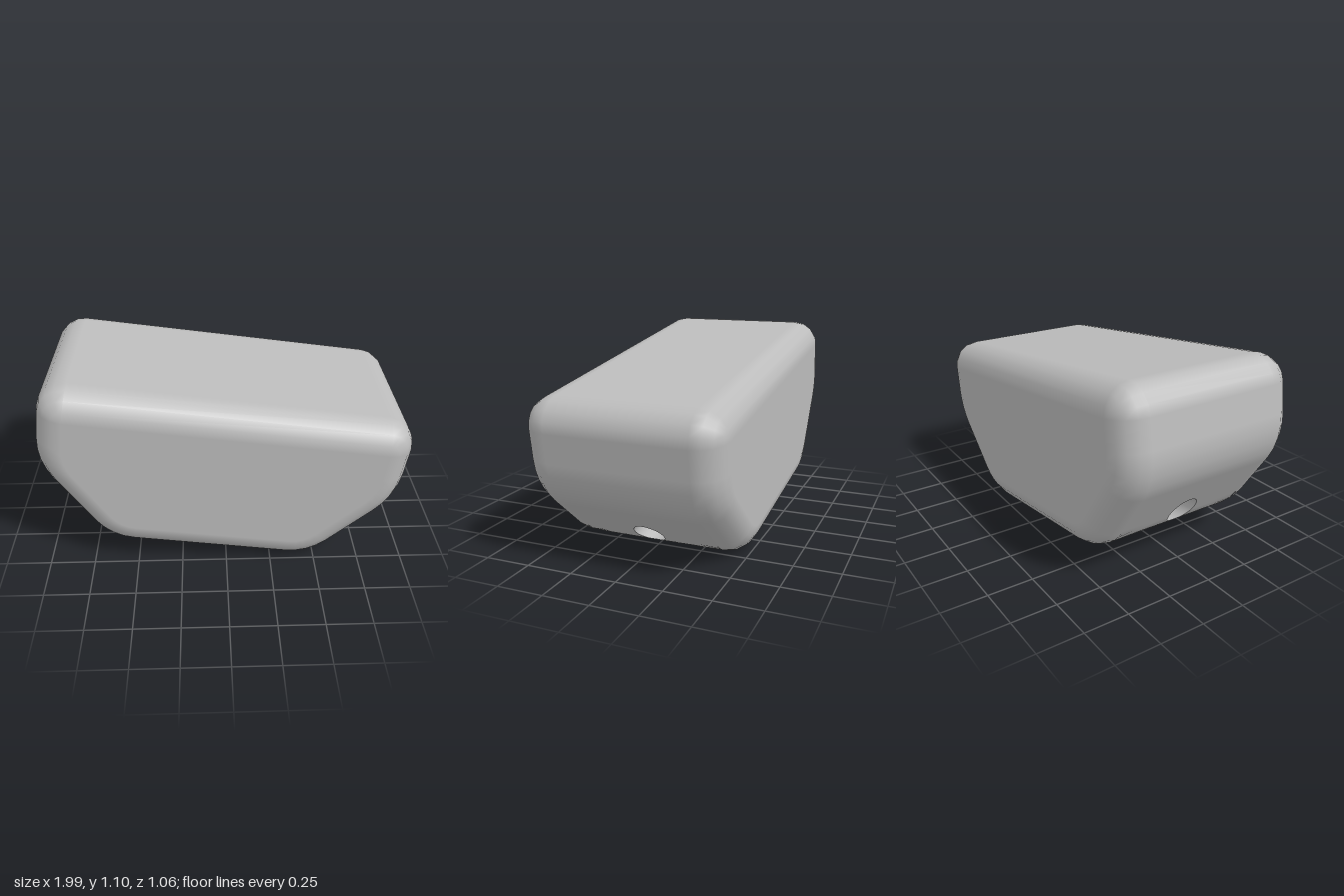
import * as THREE from 'three';
import { mergeGeometries } from 'three/addons/utils/BufferGeometryUtils.js';

const BEVEL = 0.15, SEG = 4, HALF_DEPTH = 0.528;
const FLAT = HALF_DEPTH - BEVEL;
const BORE_V = 0.193, BORE_R = 0.081, BORE_SIDES = 48;

// Grid surface: fn(i, j) gives { p, n }; triangles are wound to agree with the normals.
function surface(ni, nj, fn) {
  const pos = [], nor = [], index = [];
  for (let i = 0; i <= ni; i++) for (let j = 0; j <= nj; j++) {
    const { p, n } = fn(i, j);
    pos.push(...p);
    nor.push(...n);
  }
  const at = (a, k) => new THREE.Vector3().fromArray(a, 3 * k);
  const addTri = (a, b, c) => {
    const face = at(pos, b).sub(at(pos, a)).cross(at(pos, c).sub(at(pos, a)));
    if (face.length() < 1e-10) return;
    const mean = at(nor, a).add(at(nor, b)).add(at(nor, c));
    index.push(...(face.dot(mean) > 0 ? [a, b, c] : [a, c, b]));
  };
  for (let i = 0; i < ni; i++) for (let j = 0; j < nj; j++) {
    const a = i * (nj + 1) + j, b = a + nj + 1;
    addTri(a, b, b + 1);
    addTri(a, b + 1, a + 1);
  }
  const g = new THREE.BufferGeometry();
  g.setAttribute('position', new THREE.Float32BufferAttribute(pos, 3));
  g.setAttribute('normal', new THREE.Float32BufferAttribute(nor, 3));
  g.setIndex(index);
  return g;
}

// Side outline: a hexagon whose corners are rounded over equal lengths of edge.
function roundedOutline(corners) {
  const out = [], N = corners.length;
  corners.forEach((c, k) => {
    const d0 = c.clone().sub(corners[(k + N - 1) % N]).normalize();
    const d1 = corners[(k + 1) % N].clone().sub(c).normalize();
    const n0 = new THREE.Vector2(d0.y, -d0.x);
    const turn = Math.acos(d0.dot(d1));
    const r = BEVEL / Math.tan(turn / 2);
    const centre = c.clone().addScaledVector(d0, -BEVEL).addScaledVector(n0, -r);
    for (let s = 0; s <= SEG; s++) {
      const n = n0.clone().rotateAround(new THREE.Vector2(), turn * s / SEG);
      out.push({ p: centre.clone().addScaledVector(n, r), n });
    }
  });
  return out;
}

export function createModel() {
  const grey = new THREE.MeshStandardMaterial({ color: 0xbcbcbc });
  grey.name = 'plain grey';

  const outline = roundedOutline([
    [-0.579, 0.055], [0.579, 0.055], [0.993, 0.529],
    [0.993, 0.987], [-0.993, 0.987], [-0.993, 0.529],
  ].map(([u, v]) => new THREE.Vector2(u, v)));
  const M = outline.length;
  const parts = [];

  // Long walls, leaving out the two sloped ends that the bore pierces
  const pierced = [7, 8, 9, 29, 0, 1];
  for (let k = 0; k < M; k++) {
    if (pierced.includes(k)) continue;
    parts.push(surface(1, 1, (i, j) => {
      const o = outline[(k + i) % M];
      return { p: [o.p.x, o.p.y, j ? FLAT : -FLAT], n: [o.n.x, o.n.y, 0] };
    }));
  }

  // Rounded rims and flat faces at front and back
  for (const side of [1, -1]) {
    parts.push(surface(SEG, M, (i, j) => {
      const o = outline[j % M], a = i / SEG * Math.PI / 2;
      const inset = BEVEL * (1 - Math.cos(a));
      return {
        p: [o.p.x - o.n.x * inset, o.p.y - o.n.y * inset, side * (FLAT + BEVEL * Math.sin(a))],
        n: [o.n.x * Math.cos(a), o.n.y * Math.cos(a), side * Math.sin(a)],
      };
    }));
    parts.push(surface(1, M, (i, j) => {
      const o = outline[j % M];
      const x = i ? o.p.x - o.n.x * BEVEL : 0, y = i ? o.p.y - o.n.y * BEVEL : 0.52;
      return { p: [x, y, side * HALF_DEPTH], n: [0, 0, side] };
    }));
  }

  // Position and normal on the right-hand slope at height v
  const slope = outline.slice(7, 11);
  const onSlope = (v) => {
    let k = 0;
    while (k < 2 && v > slope[k + 1].p.y) k++;
    const a = slope[k], b = slope[k + 1];
    const t = (v - a.p.y) / (b.p.y - a.p.y);
    return { u: a.p.x + (b.p.x - a.p.x) * t, n: a.n.clone().lerp(b.n, t).normalize() };
  };

  // Sloped ends: rings growing from the round opening to the rectangular border
  const v0 = slope[0].p.y, v1 = slope[3].p.y;
  const angles = [];
  for (let i = 0; i < BORE_SIDES; i++) angles.push(i / BORE_SIDES * Math.PI * 2);
  for (const v of [v0, v1]) for (const z of [-FLAT, FLAT]) {
    angles.push((Math.atan2(v - BORE_V, z) + Math.PI * 2) % (Math.PI * 2));
  }
  angles.sort((a, b) => a - b);
  angles.push(angles[0] + Math.PI * 2);
  for (const side of [1, -1]) {
    parts.push(surface(8, angles.length - 1, (i, j) => {
      const c = Math.cos(angles[j]), s = Math.sin(angles[j]);
      const toV = (s > 0 ? v1 - BORE_V : BORE_V - v0) / Math.max(Math.abs(s), 1e-9);
      const reach = Math.min(toV, FLAT / Math.max(Math.abs(c), 1e-9));
      const r = BORE_R + (reach - BORE_R) * i / 8;
      const v = BORE_V + r * s, q = onSlope(v);
      return { p: [side * q.u, v, r * c], n: [side * q.n.x, q.n.y, 0] };
    }));
  }

  const body = new THREE.Mesh(mergeGeometries(parts), grey);
  body.name = 'roundedBody';

  // Straight bore running from one sloped end to the other
  const bore = new THREE.Mesh(surface(1, angles.length - 1, (i, j) => {
    const c = Math.cos(angles[j]), s = Math.sin(angles[j]);
    const v = BORE_V + BORE_R * s;
    return { p: [(i ? 1 : -1) * onSlope(v).u, v, BORE_R * c], n: [0, -s, -c] };
  }), grey);
  bore.name = 'throughBore';

  // The whole block leans down towards its left end
  const block = new THREE.Group();
  block.name = 'tiltedBlock';
  block.add(body, bore);
  block.rotation.z = -THREE.MathUtils.degToRad(8);
  block.position.set(-0.104, 0.009, 0);

  const model = new THREE.Group();
  model.name = 'model';
  model.add(block);
  return model;
}
